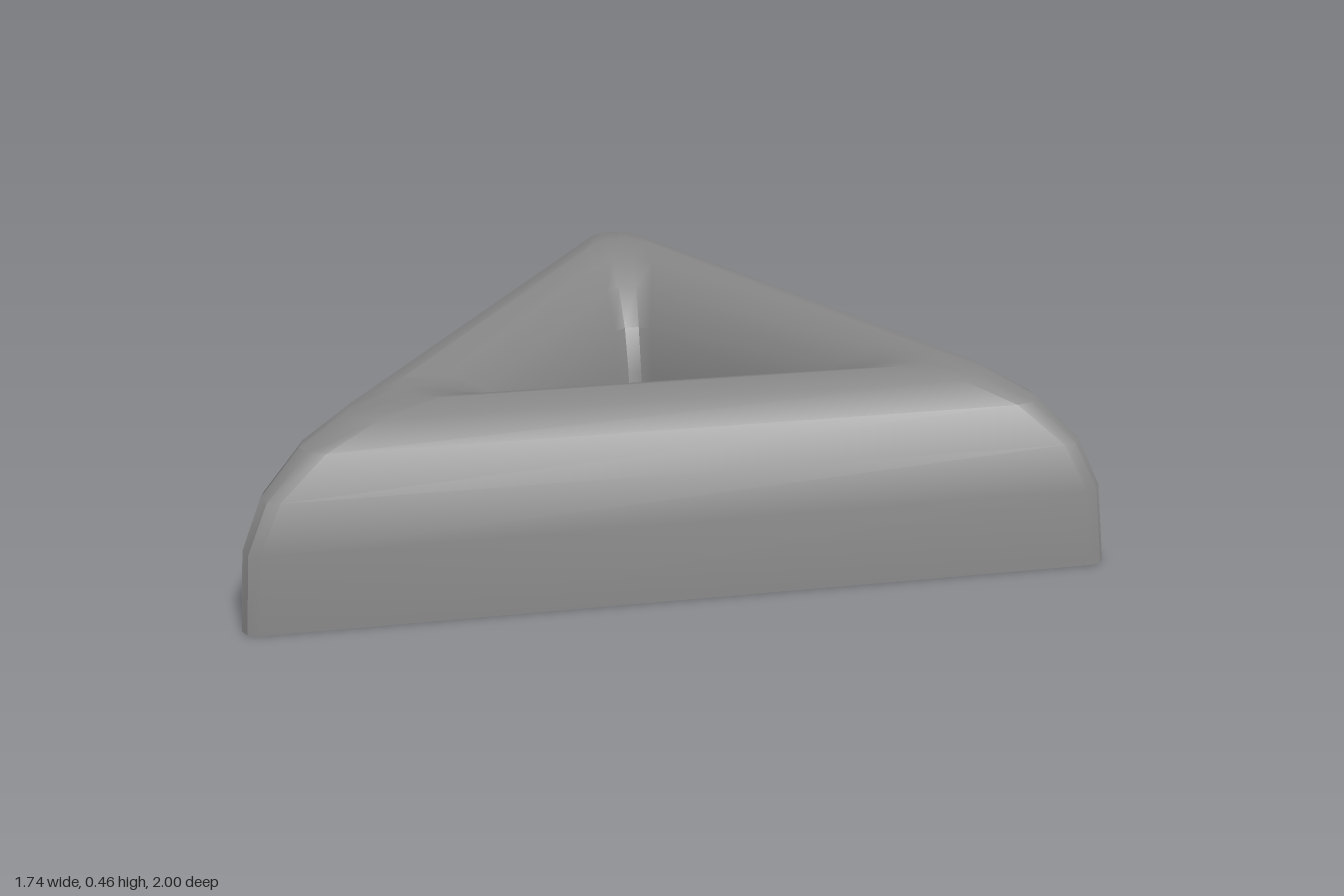
import * as THREE from 'three';
import { toCreasedNormals } from 'three/addons/utils/BufferGeometryUtils.js';

const CENTRE_X = -0.277; // centroid of the triangle
const OUTER = 0.593, INNER = 0.203; // distances from centroid to the side walls
const CORNER_STEPS = 3;
const CREASE = 0.6;

// Rounded triangle: side distance, corner radius and height
function ring(side, radius, y) {
  const points = [];
  for (let corner = 0; corner < 3; corner++) {
    const mid = corner * Math.PI * 2 / 3;
    const reach = 2 * (side - radius);
    for (let s = 0; s <= CORNER_STEPS; s++) {
      const a = mid + (s / CORNER_STEPS - 0.5) * Math.PI * 2 / 3;
      points.push([
        CENTRE_X + reach * Math.cos(mid) + radius * Math.cos(a),
        y,
        reach * Math.sin(mid) + radius * Math.sin(a),
      ]);
    }
  }
  return points;
}

// Skin a series of closed rings
function loft(rings, name) {
  const n = rings[0].length, index = [];
  for (let i = 0; i < rings.length - 1; i++) {
    for (let j = 0; j < n; j++) {
      const k = (j + 1) % n;
      const a = i * n + j, b = i * n + k, c = a + n, d = b + n;
      index.push(a, c, b, b, c, d);
    }
  }
  const geometry = new THREE.BufferGeometry();
  geometry.setAttribute('position', new THREE.Float32BufferAttribute(rings.flat(2), 3));
  geometry.setIndex(index);
  const mesh = new THREE.Mesh(
    toCreasedNormals(geometry, CREASE),
    new THREE.MeshStandardMaterial({ color: 0x868686 }),
  );
  mesh.name = name;
  return mesh;
}

export function createModel() {
  const group = new THREE.Group();
  group.name = 'triangularRing';

  // Half of the domed section: inset from the wall, height, corner radius
  const half = [
    [0, 0, 0.038], [0.01, 0.19, 0.04], [0.035, 0.3, 0.045],
    [0.08, 0.39, 0.06], [0.135, 0.44, 0.075],
  ];
  const rings = [
    ...half.map(([d, y, r]) => ring(OUTER - d, r, y)),
    ring((OUTER + INNER) / 2, 0.09, 0.46),
    ...half.slice().reverse().map(([d, y, r]) => ring(INNER + d, r + 0.01, y)),
  ];
  group.add(loft(rings, 'domedBody'));

  // Flat underside
  group.add(loft([ring(INNER, 0.048, 0), ring(OUTER, 0.038, 0)], 'underside'));
  return group;
}
